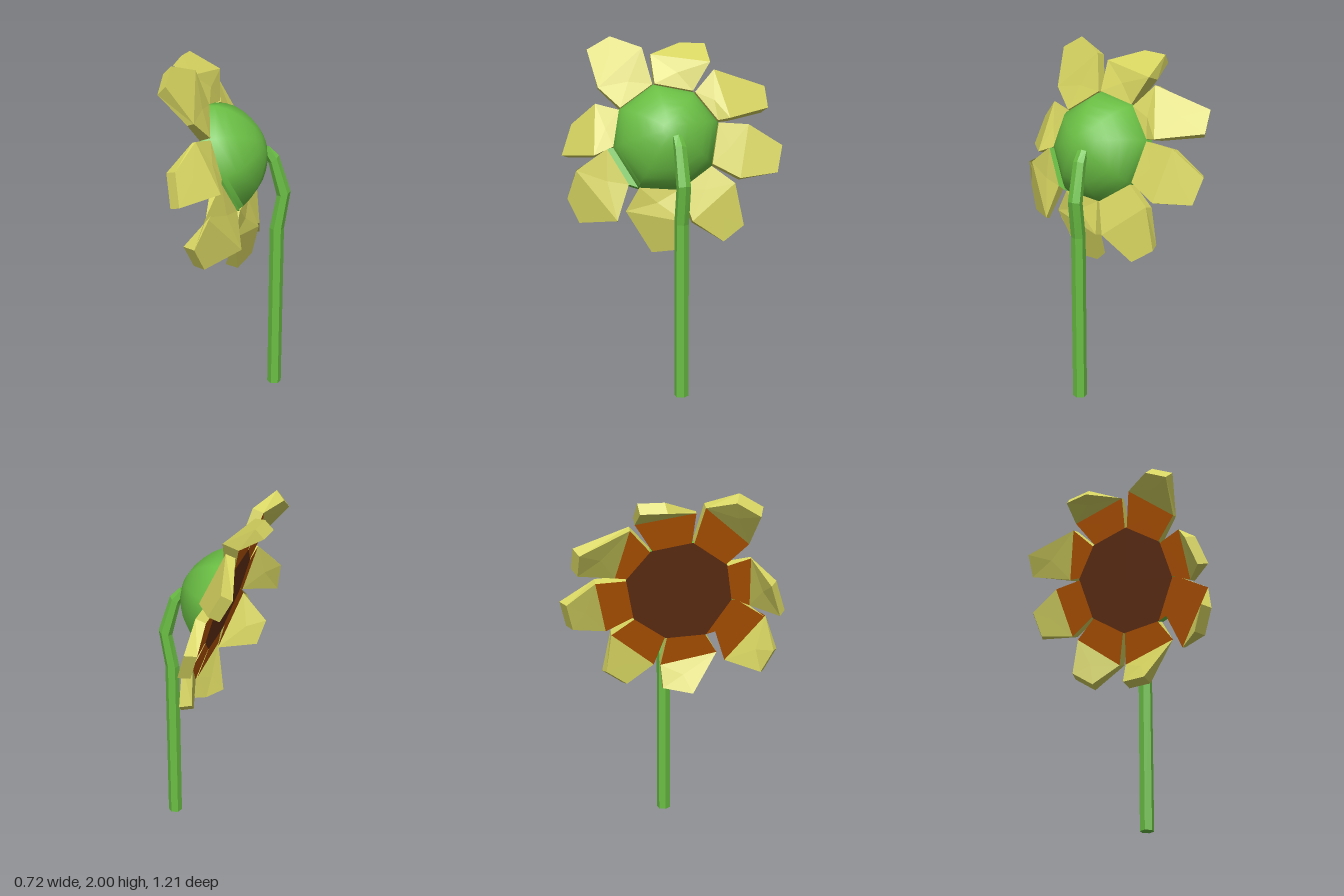
import * as THREE from 'three';
import { toCreasedNormals } from 'three/addons/utils/BufferGeometryUtils.js';

const V = (x, y, z) => new THREE.Vector3(x, y, z);

// The flower head lies in a tilted plane; its back normal points to +x.
const centre = V(-0.02, 1.44, 0.054);
const normal = V(1, 0.345, 0.21).normalize();
const FACE = -0.03; // seed face, measured along the normal
const onPlane = ([z, y]) => V(centre.x - 0.345 * (y - centre.y) - 0.21 * (z - centre.z), y, z);
const shift = (ring, d) => ring.map((p) => p.clone().addScaledVector(normal, d));
const toFace = (p) => p.clone().addScaledVector(normal, FACE - p.clone().sub(centre).dot(normal));
const middle = (ring) => ring.reduce((s, p) => s.add(p), V(0, 0, 0)).divideScalar(ring.length);

// Joins successive rings of points, with optional end caps.
function loft(rings, capStart = true, capEnd = true) {
  const pos = [];
  const tri = (...pts) => pts.forEach((p) => pos.push(p.x, p.y, p.z));
  const n = rings[0].length;
  const first = rings[0], last = rings[rings.length - 1];
  const m0 = middle(first), m1 = middle(last);
  for (let j = 0; j < n; j++) {
    const k = (j + 1) % n;
    for (let i = 0; i + 1 < rings.length; i++) {
      const a = rings[i], b = rings[i + 1];
      tri(a[j], a[k], b[k]);
      tri(a[j], b[k], b[j]);
    }
    if (capStart) tri(m0, first[k], first[j]);
    if (capEnd) tri(m1, last[j], last[k]);
  }
  const geo = new THREE.BufferGeometry();
  geo.setAttribute('position', new THREE.Float32BufferAttribute(pos, 3));
  geo.computeVertexNormals();
  return geo;
}

// Moves four corners along x until they share one plane.
function flatten(c) {
  const n = c[2].clone().sub(c[0]).cross(c[3].clone().sub(c[1]));
  const m = middle(c);
  return c.map((p) => V(p.x - p.clone().sub(m).dot(n) / n.x, p.y, p.z));
}

// Octagonal rim, as [z, y] pairs
const rim = [
  [0.30, 1.597], [0.095, 1.732], [-0.13, 1.687], [-0.25, 1.52],
  [-0.186, 1.28], [0.01, 1.15], [0.24, 1.168], [0.355, 1.385],
];

// One petal per rim side: back corners as [x, y, z], the first and last lying on the bend
const petals = [
  [[-0.19, 1.72, 0.405], [-0.318, 1.925, 0.43], [-0.305, 2.0, 0.30], [-0.167, 1.94, 0.145]],
  [[-0.18, 1.90, 0.09], [-0.265, 1.96, -0.11], [-0.20, 1.955, -0.25], [-0.05, 1.86, -0.22]],
  [[-0.04, 1.815, -0.25], [-0.08, 1.71, -0.57], [0.025, 1.59, -0.565], [0.06, 1.55, -0.30]],
  [[0.083, 1.51, -0.41], [0.13, 1.385, -0.605], [0.165, 1.235, -0.56], [0.17, 1.215, -0.33]],
  [[0.17, 1.19, -0.295], [0.195, 0.945, -0.345], [0.19, 0.86, -0.22], [0.19, 0.99, -0.035]],
  [[0.17, 0.985, 0.005], [0.15, 0.82, 0.01], [0.045, 0.795, 0.165], [0.04, 1.04, 0.31]],
  [[0.045, 0.995, 0.37], [-0.11, 0.955, 0.54], [-0.21, 1.09, 0.595], [-0.10, 1.26, 0.555]],
  [[-0.06, 1.355, 0.47], [-0.245, 1.33, 0.605], [-0.295, 1.505, 0.54], [-0.16, 1.63, 0.425]],
];

export function createModel() {
  const group = new THREE.Group();
  const material = (color, flatShading = true) => new THREE.MeshStandardMaterial({ color, flatShading });
  const green = material(0x6abe44);
  const yellow = material(0xd6d460);
  const orange = material(0xc05a00);
  const add = (name, geo, mat, parent = group) => {
    const mesh = new THREE.Mesh(geo, mat);
    mesh.name = name;
    parent.add(mesh);
  };

  // Rounded green back of the head: ring scale and height
  const base = rim.map(onPlane);
  const front = shift(base, FACE);
  const profile = [[0.14, 0.238], [0.34, 0.22], [0.53, 0.188], [0.7, 0.15], [0.84, 0.105], [0.94, 0.055], [1, 0]];
  const dome = profile.map(([s, h]) => shift(base.map((p) => centre.clone().lerp(p, s)), h));
  add('headBack', toCreasedNormals(loft([...dome, front], true, false), 0.9), material(0x6abe44, false));

  // Dark seed face
  add('seedFace', loft([front], false, true), material(0x6a3418));

  // Thick cupped petals, each with an orange root level with the seed face
  const sepalEdge = [[0.29, 1.185], [0.39, 1.38]];
  petals.forEach((corners, i) => {
    const petal = new THREE.Group();
    petal.name = 'petal';
    group.add(petal);
    const a = rim[i], b = rim[(i + 1) % 8];
    const mix = (t) => [a[0] + (b[0] - a[0]) * t, a[1] + (b[1] - a[1]) * t];
    const root = (i === 6 ? sepalEdge : [mix(0.03), mix(0.97)]).map(onPlane);
    const outerBack = flatten(corners.map((c) => V(...c)));
    const inward = centre.clone().sub(middle(outerBack)).normalize();
    const depth = inward.multiplyScalar(0.6).sub(normal).setLength(0.072);
    const outerFront = outerBack.map((p, j) => (j % 3 ? p.clone().add(depth) : toFace(p)));
    const [backStart, backEnd] = shift(root, 0.03);
    const [frontStart, frontEnd] = root.map(toFace);
    const inner = (start, outer, end) => [start, outer[0], outer[3], end];
    const sides = [[backStart, ...outerBack, backEnd], [frontStart, ...outerFront, frontEnd]];
    add('petalSides', loft(sides, false, false), yellow, petal);
    add('petalBack', loft([outerBack], true, false), yellow, petal);
    add('petalRootBack', loft([inner(backStart, outerBack, backEnd)], true, false), yellow, petal);
    add('petalFront', loft([outerFront], false, true), yellow, petal);
    add('petalRootFront', loft([inner(frontStart, outerFront, frontEnd)], false, true), orange, petal);
  });

  // Green tab under one petal, orange on the front
  const tab = [rim[6], ...sepalEdge, rim[7]].map(onPlane);
  const tabFront = tab.map(toFace);
  add('sepal', loft([shift(tab, 0.03), tabFront], true, false), green);
  add('sepalFront', loft([tabFront], false, true), orange);

  // Six-sided bent stem: x, y, radius, tilt of each section
  const sections = [
    [0.28, 0, 0.041, 0], [0.28, 1.0, 0.041, 0], [0.315, 1.21, 0.041, 0.3],
    [0.255, 1.415, 0.036, 0.65], [0.212, 1.475, 0.022, 0.75],
  ];
  const stem = sections.map(([x, y, r, tilt]) =>
    Array.from({ length: 6 }, (_, i) => {
      const a = (i * Math.PI) / 3;
      const c = r * Math.cos(a);
      return V(x + c * Math.cos(tilt), y + c * Math.sin(tilt), 0.065 - Math.max(r, 0.03) * Math.sin(a));
    }));
  add('stem', loft(stem), green);

  return group;
}
